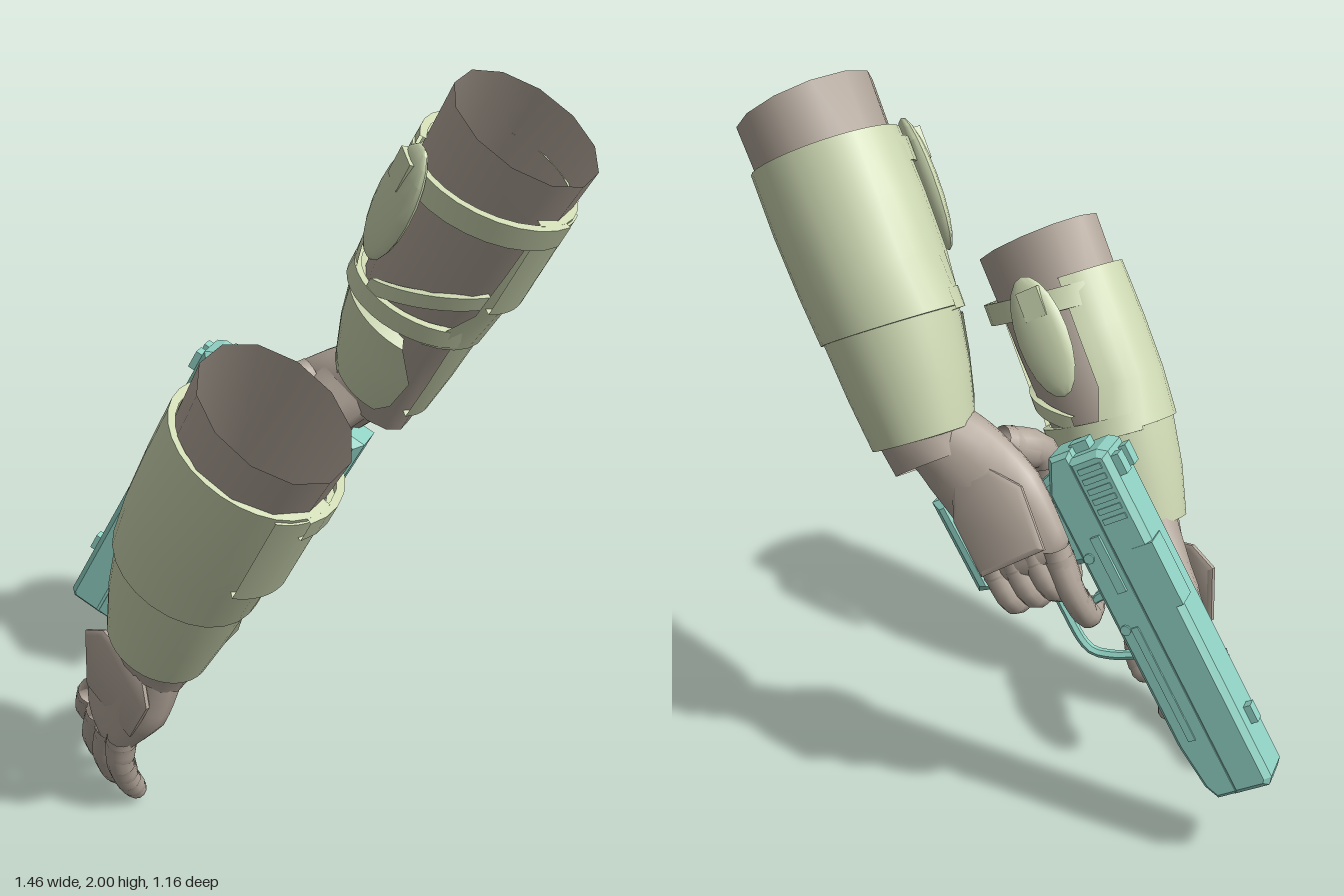
import * as THREE from 'three';
import { toCreasedNormals } from 'three/addons/utils/BufferGeometryUtils.js';

const V = (a) => new THREE.Vector3(...a);
const DEG = Math.PI / 180;

export function createModel() {
  const mat = (name, color) => Object.assign(
    new THREE.MeshStandardMaterial({ color, side: THREE.DoubleSide }), { name });
  const cloth = mat('taupe cloth', 0xb3a79b);
  const armour = mat('pale green armour', 0xcdd8b2);
  const metal = mat('teal metal', 0x90d2c4);

  // Drops attributes, optionally mirrors in z with corner order kept, and sharpens edges
  function finish(geo, mirror, crease) {
    const g = new THREE.BufferGeometry();
    const p = (geo.index ? geo.toNonIndexed() : geo).attributes.position.clone();
    if (mirror) {
      for (let i = 0; i < p.count; i += 3) {
        const b = new THREE.Vector3().fromBufferAttribute(p, i + 1);
        const c = new THREE.Vector3().fromBufferAttribute(p, i + 2);
        p.setXYZ(i + 1, c.x, c.y, c.z);
        p.setXYZ(i + 2, b.x, b.y, b.z);
      }
      for (let i = 0; i < p.count; i++) p.setZ(i, -p.getZ(i));
    }
    g.setAttribute('position', p);
    return toCreasedNormals(g, crease);
  }
  function add(parent, name, geo, material, mirror = false, crease = 0.6) {
    const m = new THREE.Mesh(finish(geo, mirror, crease), material);
    m.name = name;
    parent.add(m);
  }

  // Skin over rings of equal length
  function loft(rings, closed) {
    const n = rings[0].length, index = [];
    for (let i = 0; i < rings.length - 1; i++) {
      for (let j = 0; j < (closed ? n : n - 1); j++) {
        const k = (j + 1) % n, a = i * n + j, b = i * n + k;
        index.push(a, b, b + n, a, b + n, a + n);
      }
    }
    const g = new THREE.BufferGeometry().setFromPoints(rings.flat());
    g.setIndex(index);
    return g;
  }

  // Tapered limb with a rounded end; radii are [across, thick] per point
  function limb(points, radii, wide, sides = 10) {
    const curve = new THREE.CatmullRomCurve3(points.map(V));
    const rings = [], steps = (points.length - 1) * 4;
    const ring = (t, shift, scale) => {
      const f = t * (radii.length - 1), i = Math.min(Math.floor(f), radii.length - 2);
      const ra = THREE.MathUtils.lerp(radii[i][0], radii[i + 1][0], f - i);
      const rb = THREE.MathUtils.lerp(radii[i][1], radii[i + 1][1], f - i);
      const d = curve.getTangent(t), p = curve.getPoint(t).addScaledVector(d, shift * rb);
      const x = V(wide).addScaledVector(d, -V(wide).dot(d)).normalize();
      const y = d.clone().cross(x);
      rings.push(Array.from({ length: sides }, (_, j) => {
        const q = j / sides * Math.PI * 2;
        return p.clone().addScaledVector(x, Math.cos(q) * ra * scale).addScaledVector(y, Math.sin(q) * rb * scale);
      }));
    };
    for (let i = 0; i <= steps; i++) ring(i / steps, 0, 1);
    for (const a of [30, 60, 90]) ring(1, Math.sin(a * DEG), Math.cos(a * DEG));
    return loft(rings, true);
  }
  function finger(parent, name, points, r, wide, taper = 0.08) {
    const g = new THREE.Group();
    g.name = name;
    parent.add(g);
    const at = (i) => r * (1 - taper * i);
    add(g, 'fingerCore', limb(points, points.map((_, i) => [at(i), at(i)]), wide, 12), cloth, false, 1);
    // Padded sleeves between the joints
    for (let i = 0; i < points.length - 1; i++) {
      const a = V(points[i]), b = V(points[i + 1]), q = at(i) * 1.06;
      const p0 = a.clone().lerp(b, 0.2).toArray(), p1 = a.clone().lerp(b, 0.75).toArray();
      add(g, 'fingerPad', limb([p0, p1], [[q, q], [q * 0.93, q * 0.93]], wide, 12), cloth, false, 0.9);
    }
  }
  // Padded plate for the back of a hand
  function handPlate(pts) {
    const s = new THREE.Shape(pts.map((p) => new THREE.Vector2(...p)));
    return new THREE.ExtrudeGeometry(s, { depth: 0.01, bevelSize: 0.012, bevelThickness: 0.008, bevelSegments: 1 });
  }

  // Curved plate round the forearm; rows run down as [y, centre x, rx, rz, from, to]
  function shell(rows, from, to, tilt = 0, n = 20) {
    return loft(rows.map(([y, cx, rx, rz, a = from, b = to]) =>
      Array.from({ length: n + 1 }, (_, j) => {
        const q = (a + (b - a) * j / n) * DEG;
        return new THREE.Vector3(cx + rx * Math.cos(q), y + tilt * Math.cos(q), rz * Math.sin(q));
      })), false);
  }
  const band = (y0, y1, cx, rx, rz, from, to, tilt) => shell([
    [y1, cx, rx - 0.02, rz - 0.02], [y1, cx, rx, rz], [y0, cx, rx, rz], [y0, cx, rx - 0.02, rz - 0.02]], from, to, tilt, 14);

  function forearm(name, x, y, z, mirror) {
    const g = new THREE.Group();
    g.name = name;
    g.position.set(x, y, z);
    g.rotation.z = -0.535;
    const put = (n, geo, m = armour, crease = 0.6) => add(g, n, geo, m, mirror, crease);
    put('sleeve', shell([[0.905, 0, 0.21, 0.172], [0.5, -0.01, 0.195, 0.165], [0.25, -0.01, 0.17, 0.145],
      [0, 0.015, 0.13, 0.105], [-0.06, 0.02, 0.125, 0.09]], 0, 360, 0, 12), cloth, 0.9);
    put('mainPlate', shell([[0.77, -0.01, 0.205, 0.165], [0.77, -0.01, 0.228, 0.18], [0.6, -0.015, 0.225, 0.186],
      [0.44, -0.02, 0.218, 0.184], [0.3, -0.02, 0.207, 0.175, -45, 240], [0.3, -0.02, 0.18, 0.15, -45, 240]], -20, 225, 0.02));
    // Cuff in two parts, leaving a gap of sleeve between them
    put('cuff', shell([[0.315, -0.02, 0.16, 0.14], [0.305, -0.02, 0.198, 0.168], [0.15, -0.005, 0.178, 0.152],
      [0.01, 0.015, 0.148, 0.13], [0.01, 0.015, 0.115, 0.09]], -18, 245, 0.015, 28));
    put('cuffInnerPlate', shell([[0.29, -0.015, 0.17, 0.14, 240, 300], [0.27, -0.015, 0.202, 0.174, 235, 305],
      [0.17, 0, 0.187, 0.166], [0.06, 0.01, 0.162, 0.146, 232, 318], [0.02, 0.015, 0.15, 0.135, 240, 305],
      [0.015, 0.015, 0.12, 0.1, 240, 305]], 228, 322, 0, 10));
    put('sidePlate', band(0.47, 0.76, -0.01, 0.232, 0.19, -18, 28, 0.02));
    put('upperStrap', band(0.69, 0.755, 0, 0.232, 0.208, 175, 365, 0.035));
    put('lowerStrap', band(0.3, 0.355, -0.02, 0.208, 0.182, 200, 345, 0.03));
    put('crossStrap', band(0.36, 0.405, -0.015, 0.207, 0.18, 255, 345, 0.12));
    // Pad hung on the inner side, with its buckle
    put('innerPad', new THREE.SphereGeometry(1, 16, 10).scale(0.085, 0.18, 0.028).rotateY(0.35).translate(-0.1, 0.615, -0.195));
    put('buckle', new THREE.BoxGeometry(0.07, 0.085, 0.02).rotateY(0.4).translate(-0.12, 0.71, -0.205));
    return g;
  }

  // Open hand, hanging from the near wrist
  function openHand() {
    const g = new THREE.Group();
    g.name = 'openHand';
    const wide = [0.95, -0.22, 0.2];
    add(g, 'palm', limb([[0.09, 0.64, 0.385], [0.055, 0.54, 0.385], [0.0, 0.42, 0.395], [-0.085, 0.29, 0.425]],
      [[0.12, 0.085], [0.14, 0.085], [0.158, 0.075], [0.128, 0.045]], wide, 16), cloth, false, 1);
    const knuckles = [[-0.19, 0.3, 0.4], [-0.12, 0.28, 0.425], [-0.05, 0.27, 0.445], [0.015, 0.28, 0.455]];
    const tips = [[-0.32, 0.105, 0.29], [-0.235, 0.045, 0.335], [-0.145, 0.03, 0.36], [-0.04, 0.045, 0.375]];
    knuckles.forEach((k, i) => {
      const mid = (f, bow) => V(k).lerp(V(tips[i]), f).add(V([0, 0, bow])).toArray();
      finger(g, 'finger', [k, mid(0.38, 0.025), mid(0.72, 0.02), tips[i]], 0.041, [1, 0, 0]);
    });
    finger(g, 'thumb', [[0.02, 0.52, 0.34], [-0.06, 0.485, 0.255], [-0.13, 0.425, 0.17], [-0.185, 0.355, 0.125]], 0.075, [1, 0, 0], 0.14);
    const plate = handPlate([[-0.14, 0.05], [-0.07, 0.1], [0.1, 0.1], [0.14, 0.02], [0.09, -0.11], [-0.11, -0.1]]);
    add(g, 'backPlate', plate.rotateY(-0.08).rotateZ(-0.2).translate(0.0, 0.45, 0.453), cloth);
    return g;
  }

  // Gun frame: x runs back along the barrel, y up to the sights, z across
  const gunFrame = new THREE.Matrix4().makeBasis(V([0.414, 0.883, -0.22]), V([-0.779, 0.469, 0.415]), V([0.469, 0, 0.883]))
    .setPosition(-0.643, 0.27, 0.035);
  function inGunFrame(name) {
    const g = new THREE.Group();
    g.name = name;
    gunFrame.decompose(g.position, g.quaternion, g.scale);
    return g;
  }

  function pistol() {
    const g = inGunFrame('pistol');
    const slab = (name, pts, width, bevel = 0.012) => {
      const s = new THREE.Shape(pts.map((p) => new THREE.Vector2(...p)));
      const depth = width - 2 * bevel;
      const geo = new THREE.ExtrudeGeometry(s, { depth, bevelThickness: bevel, bevelSize: bevel, bevelOffset: -bevel, bevelSegments: 1 });
      add(g, name, geo.translate(0, 0, -depth / 2), metal, false, 0.3);
    };
    const box = (name, x0, x1, y0, y1, w, z = 0) => add(g, name,
      new THREE.BoxGeometry(x1 - x0, y1 - y0, w).translate((x0 + x1) / 2, (y0 + y1) / 2, z), metal);
    slab('slide', [[-0.02, -0.03], [0.965, -0.03], [0.965, 0.06], [0.95, 0.085], [0, 0.085], [-0.02, 0.07]], 0.128, 0.016);
    slab('frame', [[-0.02, -0.01], [-0.02, -0.08], [0.02, -0.1], [0.15, -0.115], [0.9, -0.115], [0.985, -0.07], [0.985, -0.01]], 0.116);
    // Trigger and its looped guard
    const loop = [[0.4, -0.1], [0.425, -0.19], [0.46, -0.24], [0.57, -0.252], [0.67, -0.24], [0.71, -0.18], [0.72, -0.1]];
    add(g, 'triggerGuard', new THREE.TubeGeometry(new THREE.CatmullRomCurve3(loop.map((p) => V([...p, 0]))), 24, 0.013, 6), metal, false, 0.9);
    slab('trigger', [[0.58, -0.1], [0.61, -0.1], [0.6, -0.15], [0.565, -0.2], [0.575, -0.15]], 0.025, 0.004);
    slab('grip', [[0.69, -0.07], [0.95, -0.07], [0.92, -0.16], [0.97, -0.4], [0.75, -0.4], [0.7, -0.2]], 0.1, 0.02);
    slab('gripBase', [[0.71, -0.375], [0.985, -0.375], [0.985, -0.43], [0.72, -0.43]], 0.13, 0.02);
    // Sights, muzzle and rear end
    box('frontSight', 0.14, 0.19, 0.08, 0.105, 0.03);
    for (const z of [-0.03, 0.03]) box('rearSight', 0.88, 0.935, 0.08, 0.105, 0.035, z);
    box('hammer', 0.96, 0.99, -0.02, 0.03, 0.04);
    add(g, 'muzzleRing', new THREE.TorusGeometry(0.027, 0.008, 8, 16).rotateY(Math.PI / 2).translate(-0.018, 0.035, 0), metal);
    add(g, 'guideRod', new THREE.CylinderGeometry(0.012, 0.012, 0.02, 10).rotateZ(Math.PI / 2).translate(-0.018, -0.025, 0), metal);
    // Details on both flanks
    for (const s of [-1, 1]) {
      for (let i = 0; i < 6; i++) box('gripRib', 0.78 + i * 0.028, 0.795 + i * 0.028, -0.005, 0.06, 0.012, s * 0.062);
      box('sideRail', 0.16, 0.5, -0.075, -0.055, 0.012, s * 0.057);
      box('slideStop', 0.6, 0.76, -0.06, -0.035, 0.014, s * 0.06);
      for (const x of [0.5, 0.71]) add(g, 'pin', new THREE.CylinderGeometry(0.014, 0.014, 0.02, 10)
        .rotateX(Math.PI / 2).translate(x, -0.09, s * 0.054), metal);
    }
    box('ejectionPlate', 0.52, 0.7, 0.03, 0.089, 0.07, -0.03);
    return g;
  }

  // Hand closed round the grip
  function grippingHand() {
    const g = inGunFrame('grippingHand');
    const up = [0, 1, 0];
    add(g, 'palm', limb([[1.16, -0.345, -0.02], [1.07, -0.3, -0.03], [0.93, -0.24, -0.065], [0.77, -0.22, -0.09]],
      [[0.1, 0.09], [0.12, 0.085], [0.135, 0.065], [0.12, 0.04]], up, 16), cloth, false, 1);
    add(g, 'heel', limb([[1.08, -0.3, 0], [1.0, -0.28, 0.035], [0.93, -0.29, 0.05]], [[0.1, 0.07], [0.09, 0.06], [0.06, 0.04]], up), cloth, false, 1);
    [-0.205, -0.265, -0.325].forEach((u, i) => finger(g, 'finger',
      [[0.79, u, -0.095], [0.675, u, -0.085], [0.655 + i * 0.012, u, 0.015], [0.72, u, 0.068], [0.78, u, 0.07]], 0.037, up));
    finger(g, 'triggerFinger', [[0.78, -0.14, -0.095], [0.65, -0.16, -0.09], [0.56, -0.18, -0.04], [0.555, -0.19, 0.035]], 0.037, up);
    finger(g, 'thumb', [[1.05, -0.2, 0], [0.98, -0.15, 0.08], [0.87, -0.2, 0.11], [0.78, -0.26, 0.1]], 0.052, up);
    const plate = handPlate([[-0.1, -0.08], [-0.09, 0.09], [0.06, 0.09], [0.12, 0.03], [0.12, -0.07], [0.04, -0.1]]);
    add(g, 'backPlate', plate.rotateY(-0.27).translate(0.9, -0.235, -0.142), cloth);
    return g;
  }

  const model = new THREE.Group();
  model.name = 'armsWithPistol';
  model.add(forearm('nearForearm', 0.09, 0.6, 0.395, false), openHand());
  model.add(forearm('farForearm', 0.09, 1.11, -0.395, true), grippingHand(), pistol());
  return model;
}
